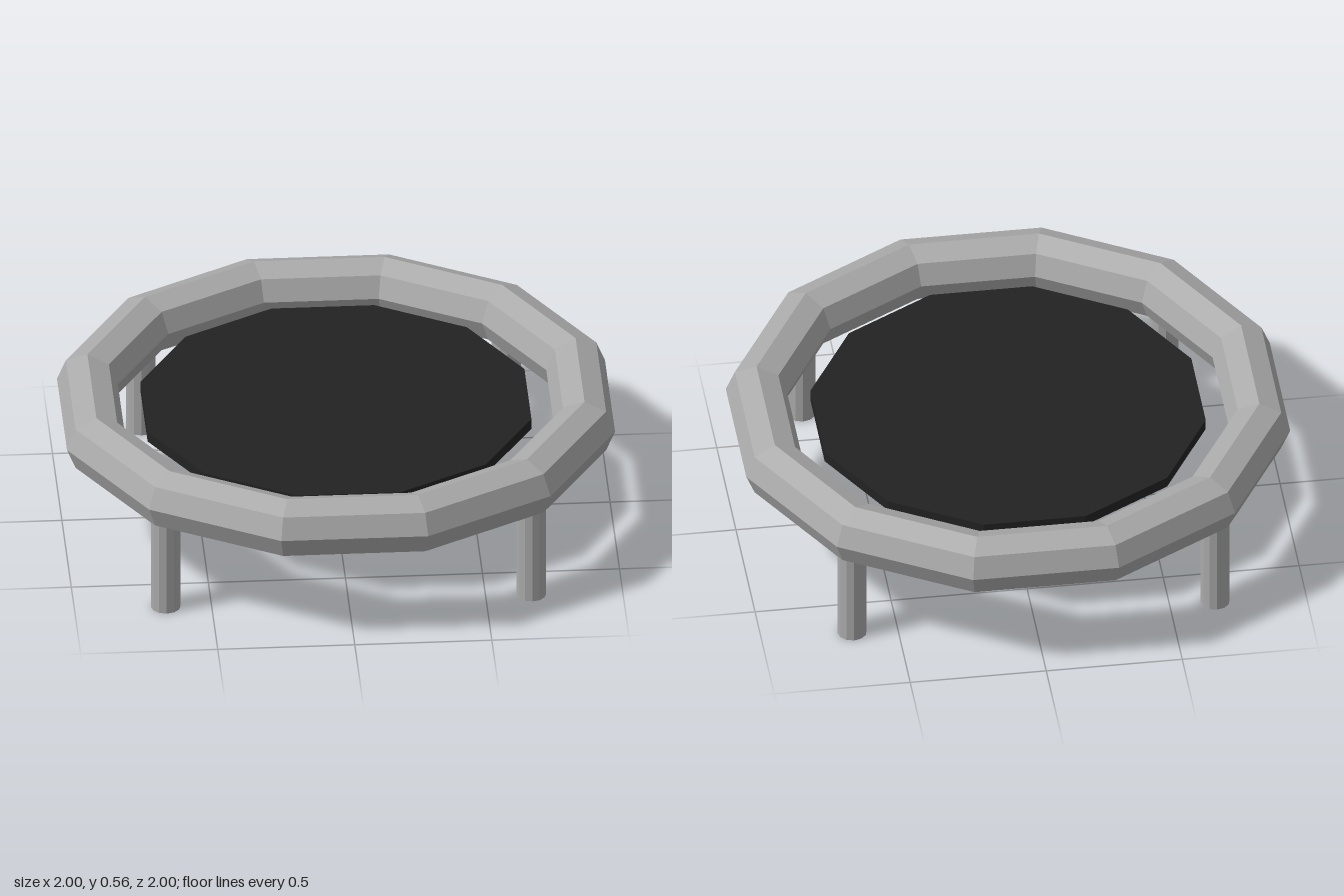
import * as THREE from 'three';

const SIDES = 12;
const TURN = Math.PI / SIDES; // flat sides face the axes
const RING_Y = 0.442;

export function createModel() {
  const group = new THREE.Group();
  const metal = new THREE.MeshStandardMaterial({ color: 0xaaaaaa, flatShading: true });
  metal.name = 'grey frame';
  const fabric = new THREE.MeshStandardMaterial({ color: 0x222222, flatShading: true });
  fabric.name = 'black mat';

  const add = (name, geometry, material, x, y, z) => {
    const mesh = new THREE.Mesh(geometry, material);
    mesh.name = name;
    mesh.position.set(x, y, z);
    group.add(mesh);
  };

  // Padded outer ring, octagonal in section
  const ring = new THREE.TorusGeometry(0.922, 0.113, 8, SIDES);
  ring.rotateZ(TURN).rotateX(-Math.PI / 2);
  add('ring', ring, metal, 0, RING_Y, 0);

  // Jumping mat, floating inside the ring
  const mat = new THREE.CylinderGeometry(0.725, 0.725, 0.04, SIDES);
  mat.rotateY(TURN);
  add('mat', mat, fabric, 0, RING_Y, 0);

  // Four legs, their tops buried in the ring
  const leg = new THREE.CylinderGeometry(0.054, 0.054, RING_Y, 12);
  for (const [zName, z] of [['front', 1], ['back', -1]]) {
    for (const [xName, x] of [['Left', 1], ['Right', -1]]) {
      add(`${zName}${xName}Leg`, leg, metal, x * 0.667, RING_Y / 2, z * 0.667);
    }
  }
  return group;
}
